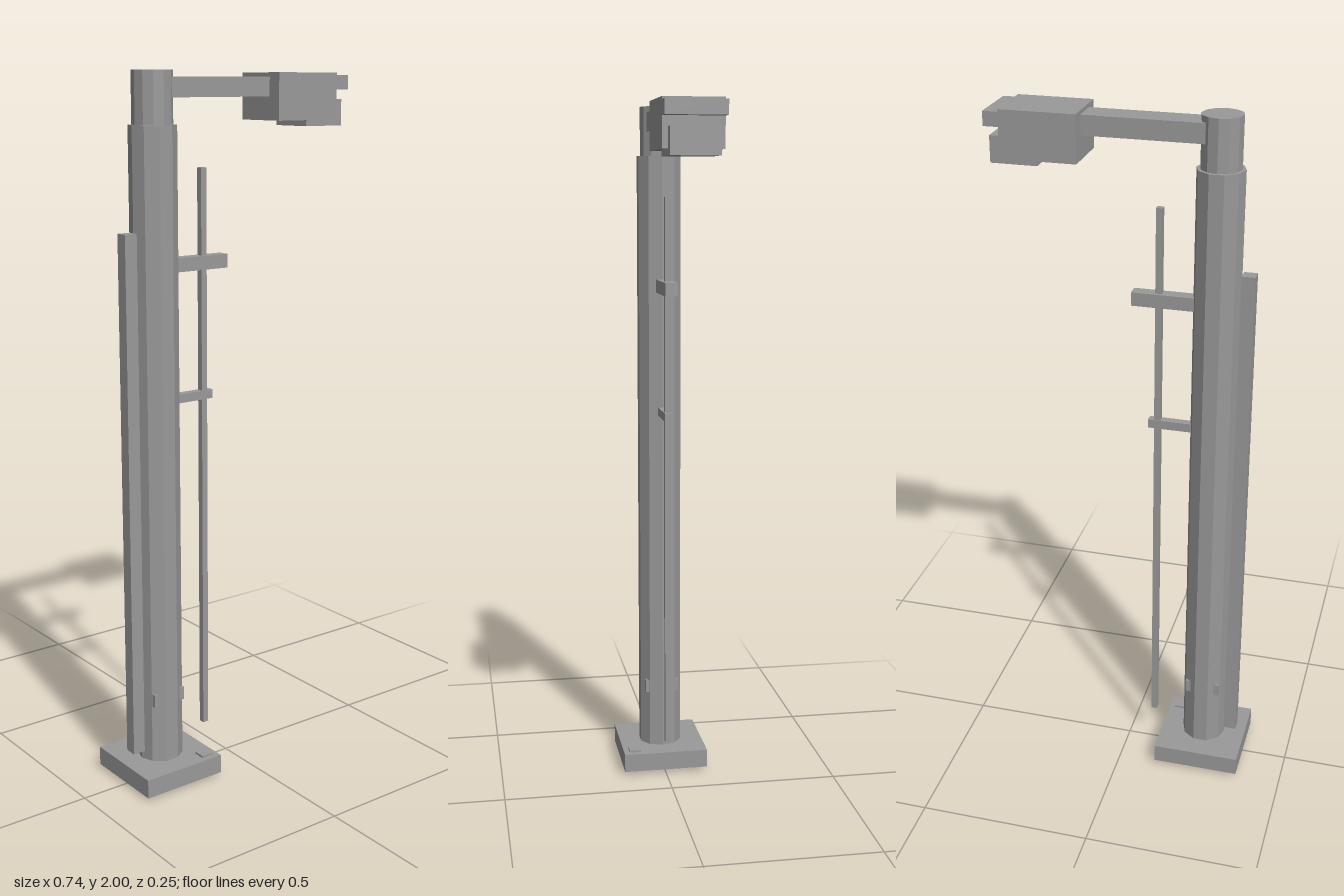
import * as THREE from 'three';

const mat = new THREE.MeshStandardMaterial({ color: 0x999999, flatShading: true });
const POLE_X = -0.24;

export function createModel() {
  const group = new THREE.Group();

  const add = (name, geometry) => {
    const mesh = new THREE.Mesh(geometry, mat);
    mesh.name = name;
    group.add(mesh);
    return mesh;
  };
  // Box given by its extents on each axis
  const box = (name, [x0, x1], [y0, y1], [z0, z1]) =>
    add(name, new THREE.BoxGeometry(x1 - x0, y1 - y0, z1 - z0))
      .position.set((x0 + x1) / 2, (y0 + y1) / 2, (z0 + z1) / 2);
  // Upright prism on the pole axis, with a corner pointing along x
  const column = (name, radius, y0, y1, sides) => {
    const mesh = add(name, new THREE.CylinderGeometry(radius, radius, y1 - y0, sides));
    mesh.rotation.y = -Math.PI / 2;
    mesh.position.set(POLE_X, (y0 + y1) / 2, 0);
  };

  // Foot
  box('footPad', [-0.306, -0.176], [0, 0.02], [-0.065, 0.065]);
  box('basePlate', [-0.368, -0.113], [0.011, 0.066], [-0.128, 0.127]);
  box('baseStud', [-0.167, -0.13], [0.06, 0.072], [0.075, 0.11]);

  // Pole and its top section
  column('pole', 0.065, 0.06, 1.861, 10);
  column('poleTop', 0.055, 1.83, 2, 12);

  // Four small tabs around the foot of the pole
  for (const sx of [-1, 1]) for (const sz of [-1, 1]) {
    const x = POLE_X + sx * 0.043, z = sz * 0.043;
    box('poleTab', [x - 0.008, x + 0.008], [0.237, 0.275], [z - 0.008, z + 0.008]);
  }

  // Conduit on the right, rod with its brackets on the left
  box('conduit', [-0.343, -0.306], [0.094, 1.582], [-0.018, 0.018]);
  box('rod', [-0.09, -0.072], [0.117, 1.745], [-0.009, 0.009]);
  box('upperBracket', [-0.19, -0.007], [1.47, 1.508], [-0.018, 0.018]);
  box('lowerBracket', [-0.19, -0.055], [1.105, 1.13], [-0.012, 0.012]);

  // Arm and head
  box('arm', [-0.208, 0.13], [1.93, 1.983], [-0.04, 0.04]);
  box('head', [0.12, 0.327], [1.866, 1.994], [-0.082, 0.081]);
  box('headVisor', [0.3, 0.368], [1.948, 1.987], [-0.082, 0.081]);
  box('headLens', [0.23, 0.358], [1.849, 1.921], [-0.066, 0.066]);

  return group;
}
